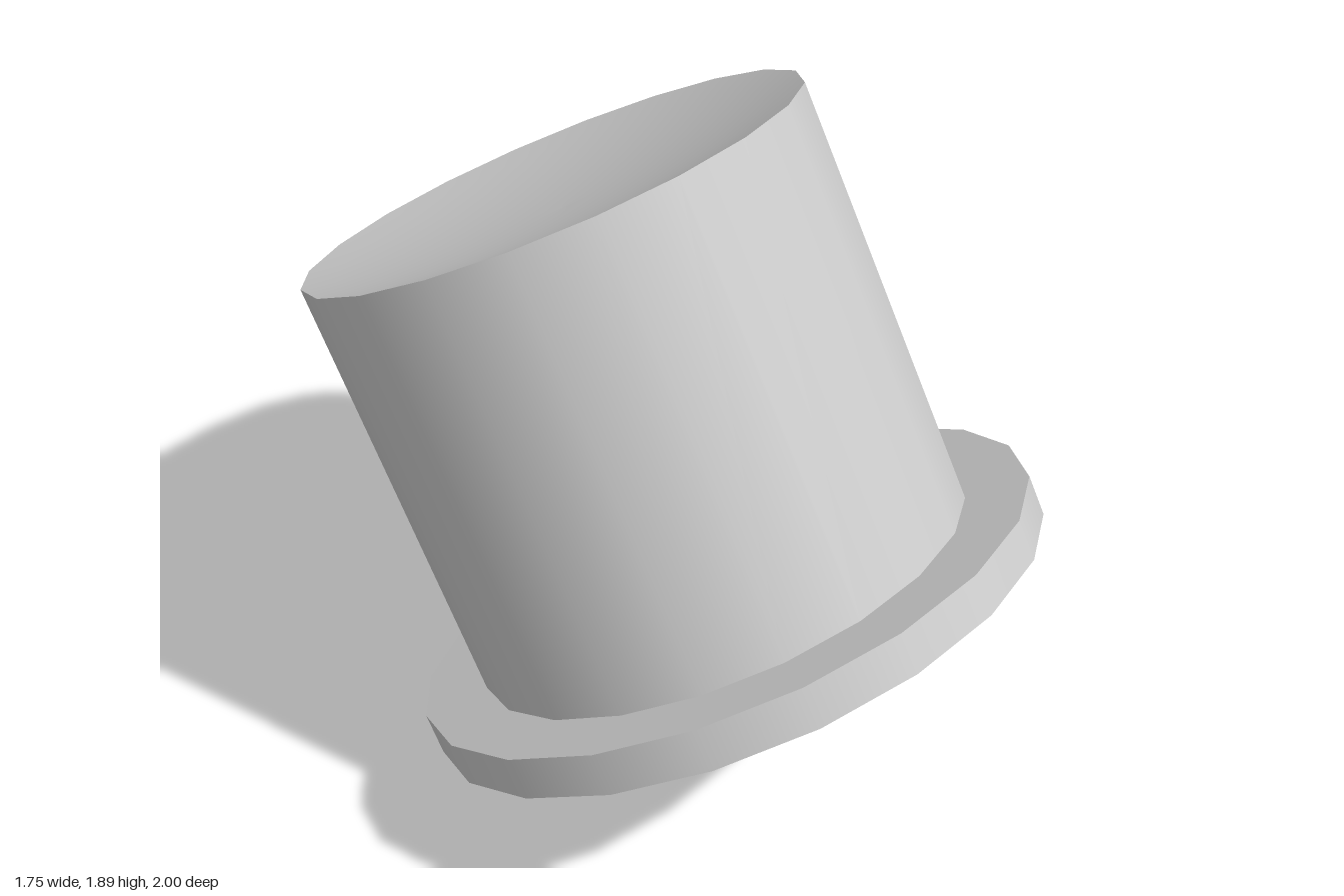
import * as THREE from 'three';

const SIDES = 20;
const TILT = -THREE.MathUtils.degToRad(28.4);
const BRIM = { radius: 0.874, height: 0.114 };
const CROWN = { radius: 0.696, height: 1.188 };
const DISH_DEPTH = 0.08;
const DISH_RINGS = 8;

export function createModel() {
  const model = new THREE.Group();
  model.name = 'topHat';
  const material = new THREE.MeshStandardMaterial({ color: 0xcccccc });

  // The hat leans back around the centre of its underside
  const hat = new THREE.Group();
  hat.name = 'tiltedHat';
  hat.position.set(0, 0.416, 0.231);
  hat.rotation.x = TILT;
  model.add(hat);

  const addPart = (name, geometry, y) => {
    const mesh = new THREE.Mesh(geometry, material);
    mesh.name = name;
    mesh.position.y = y;
    hat.add(mesh);
  };

  // Flat brim, closed underneath
  addPart('brim', new THREE.CylinderGeometry(BRIM.radius, BRIM.radius, BRIM.height, SIDES), BRIM.height / 2);

  // Straight crown wall
  addPart('crownWall',
    new THREE.CylinderGeometry(CROWN.radius, CROWN.radius, CROWN.height, SIDES, 1, true),
    BRIM.height + CROWN.height / 2);

  // Shallow dished crown top, from rim to centre
  const profile = [];
  for (let i = 0; i <= DISH_RINGS; i++) {
    const t = 1 - i / DISH_RINGS;
    profile.push(new THREE.Vector2(CROWN.radius * t, -DISH_DEPTH * (1 - t * t)));
  }
  addPart('crownTop', new THREE.LatheGeometry(profile, SIDES), BRIM.height + CROWN.height);

  return model;
}
